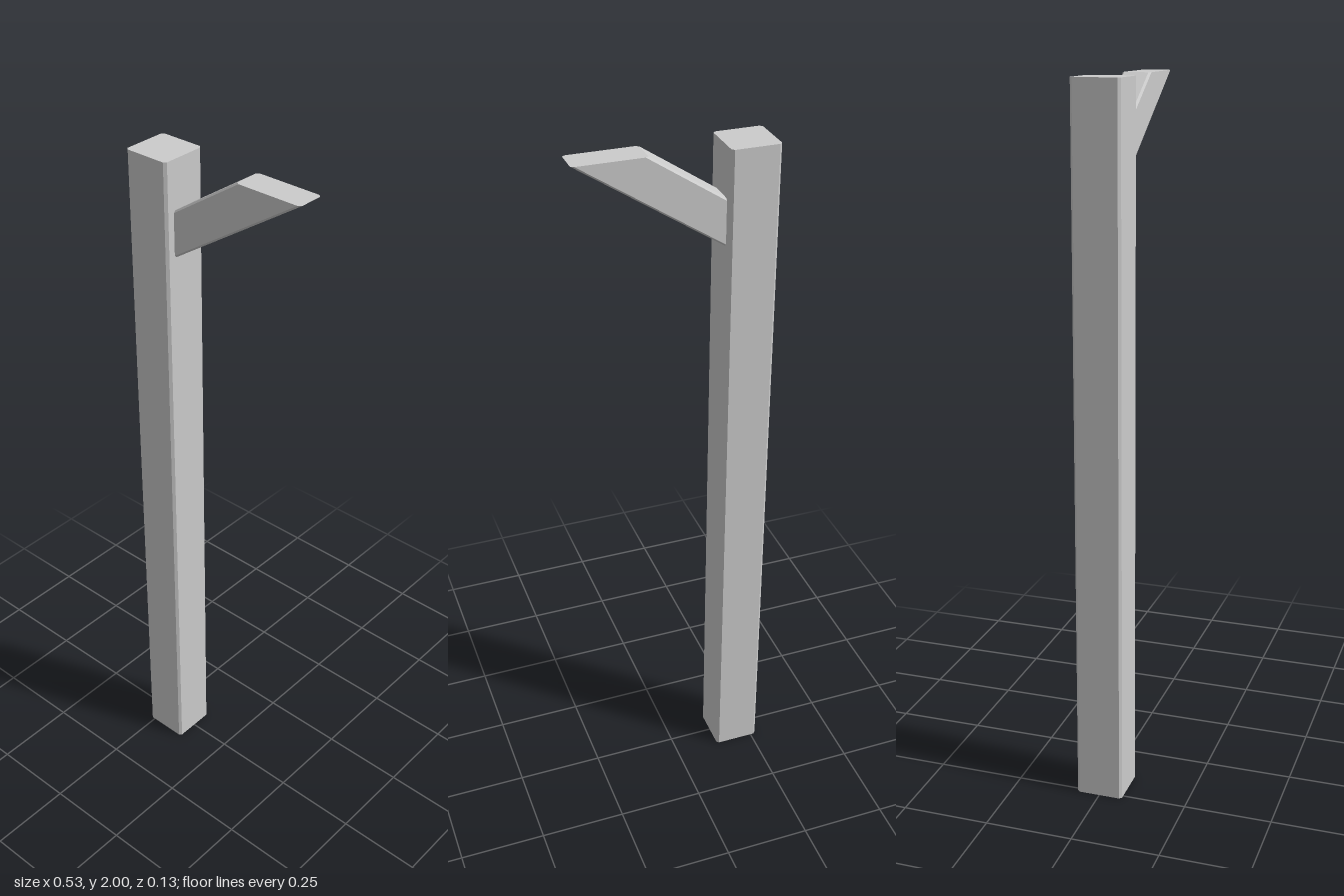
import * as THREE from 'three';

const HEIGHT = 2;
const material = new THREE.MeshStandardMaterial({ color: 0xcccccc, flatShading: true });

// Rectangle with chamfered corners, centred on (0, cy)
function chamferedRect(w, h, c, cy = 0) {
  const x = w / 2, y = h / 2;
  return new THREE.Shape([
    [x - c, -y], [x, -y + c], [x, y - c], [x - c, y],
    [-x + c, y], [-x, y - c], [-x, -y + c], [-x + c, -y],
  ].map(([a, b]) => new THREE.Vector2(a, b + cy)));
}

function extrude(shape, depth) {
  return new THREE.ExtrudeGeometry(shape, { depth, bevelEnabled: false });
}

export function createModel() {
  const group = new THREE.Group();
  group.name = 'bracedPost';

  // Upright post
  const width = 0.134;
  const postGeometry = extrude(chamferedRect(width, width, 0.007), HEIGHT);
  postGeometry.rotateX(-Math.PI / 2);
  const post = new THREE.Mesh(postGeometry, material);
  post.name = 'post';
  post.position.x = -0.2;
  group.add(post);

  // Diagonal brace: cut vertically at the post and horizontally at the top
  const startX = -0.133, slope = 0.6625;
  const braceGeometry = extrude(chamferedRect(0.08, 0.13, 0.006, 1.8), 1);
  const p = braceGeometry.attributes.position;
  for (let i = 0; i < p.count; i++) {
    const side = p.getX(i), y = p.getY(i), t = p.getZ(i);
    const rise = t * (HEIGHT - y);
    p.setXYZ(i, startX + rise / slope, y + rise, -side);
  }
  braceGeometry.computeVertexNormals();
  const brace = new THREE.Mesh(braceGeometry, material);
  brace.name = 'brace';
  group.add(brace);

  return group;
}
